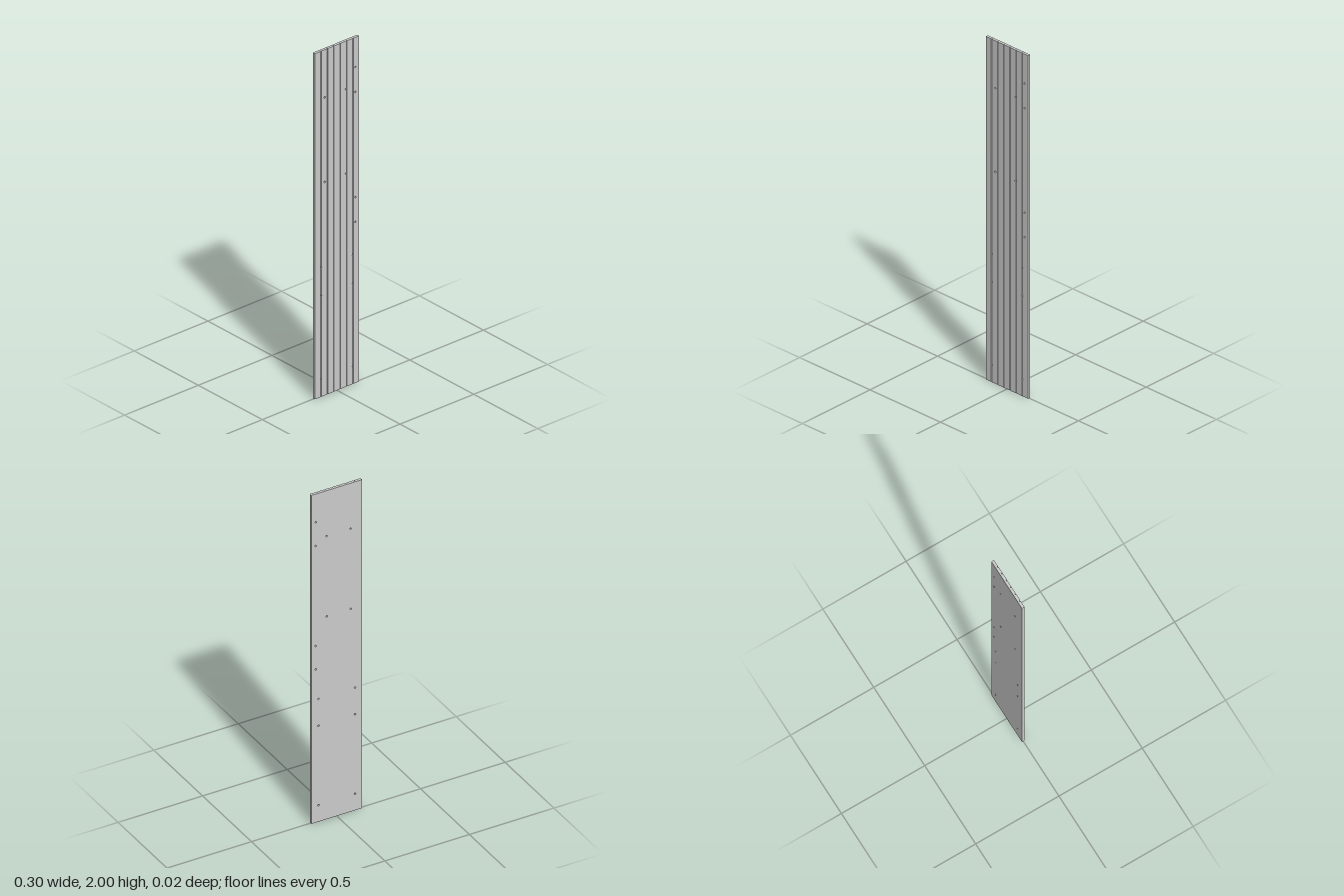
import * as THREE from 'three';

const HALF_W = 0.15, HEIGHT = 2, FRONT = 0.008, BACK = -0.008;
const GROOVE_PITCH = 0.0436, GROOVE_R = 0.0027, GROOVE_DEPTH = 0.0058;
const HOLE_R = 0.005, HOLE_STEPS = 8;

const grooves = [-2.5, -1.5, -0.5, 0.5, 1.5, 2.5].map(i => i * GROOVE_PITCH);

// Drill holes as [x, y]
const holes = [];
for (const y of [0.1, 0.584, 0.747]) for (const x of [-0.108, 0.108]) holes.push([x, y]);
for (const y of [1.234, 1.723]) for (const x of [-0.083, 0.06]) holes.push([x, y]);
for (const y of [0.932, 1.075, 1.684, 1.828]) holes.push([0.125, y]);
holes.sort((a, b) => a[1] - b[1]);

// Front surface: flat with round-bottomed grooves
function frontZ(x) {
  for (const g of grooves) {
    const d = Math.abs(x - g);
    if (d < GROOVE_R + 5e-6) {
      return FRONT - GROOVE_DEPTH + GROOVE_R - Math.sqrt(Math.max(0, GROOVE_R ** 2 - d * d));
    }
  }
  return FRONT;
}

// Half the height of a hole at x
const halfHole = (x, cx) => Math.sqrt(Math.max(0, HOLE_R ** 2 - (x - cx) ** 2));

// All x positions where the section or a hole outline bends
function columnEdges() {
  const xs = [-HALF_W, HALF_W];
  for (const g of grooves) {
    xs.push(g - GROOVE_R - 2e-5, g + GROOVE_R + 2e-5);
    for (let i = 0; i <= 8; i++) xs.push(g - GROOVE_R * Math.cos(Math.PI * i / 8));
  }
  for (const [cx] of holes) {
    for (let i = 0; i <= HOLE_STEPS; i++) xs.push(cx - HOLE_R * Math.cos(Math.PI * i / HOLE_STEPS));
  }
  return [...new Set(xs.map(x => x.toFixed(6)))].map(Number).sort((a, b) => a - b);
}

// Board built column by column, each column interrupted by the holes it crosses
function boardGeometry() {
  const pos = [];
  const quad = (a, b, c, d) => pos.push(...a, ...b, ...c, ...a, ...c, ...d);
  const xs = columnEdges();

  for (let i = 0; i < xs.length - 1; i++) {
    const l = xs[i], r = xs[i + 1], mid = (l + r) / 2;
    const zl = frontZ(l), zr = frontZ(r);

    // Edges of the solid stretches: [y at left, y at right]
    const edges = [[0, 0]];
    for (const [cx, cy] of holes) {
      if (Math.abs(mid - cx) >= HOLE_R) continue;
      const hl = halfHole(l, cx), hr = halfHole(r, cx);
      edges.push([cy - hl, cy - hr], [cy + hl, cy + hr]);
    }
    edges.push([HEIGHT, HEIGHT]);

    for (let k = 0; k < edges.length; k += 2) {
      const [bl, br] = edges[k], [tl, tr] = edges[k + 1];
      quad([l, bl, zl], [r, br, zr], [r, tr, zr], [l, tl, zl]); // front
      quad([r, br, BACK], [l, bl, BACK], [l, tl, BACK], [r, tr, BACK]); // back
      quad([l, tl, zl], [r, tr, zr], [r, tr, BACK], [l, tl, BACK]); // upper end or hole wall
      quad([l, bl, BACK], [r, br, BACK], [r, br, zr], [l, bl, zl]); // lower end or hole wall
    }
  }

  // Long side edges
  const w = HALF_W, h = HEIGHT;
  quad([w, 0, FRONT], [w, 0, BACK], [w, h, BACK], [w, h, FRONT]);
  quad([-w, 0, BACK], [-w, 0, FRONT], [-w, h, FRONT], [-w, h, BACK]);

  const geo = new THREE.BufferGeometry();
  geo.setAttribute('position', new THREE.Float32BufferAttribute(pos, 3));
  geo.computeVertexNormals();
  return geo;
}

export function createModel() {
  const group = new THREE.Group();
  group.name = 'groovedPanel';
  const board = new THREE.Mesh(
    boardGeometry(),
    new THREE.MeshStandardMaterial({ color: 0xcccccc, flatShading: true })
  );
  board.name = 'board';
  group.add(board);
  return group;
}
